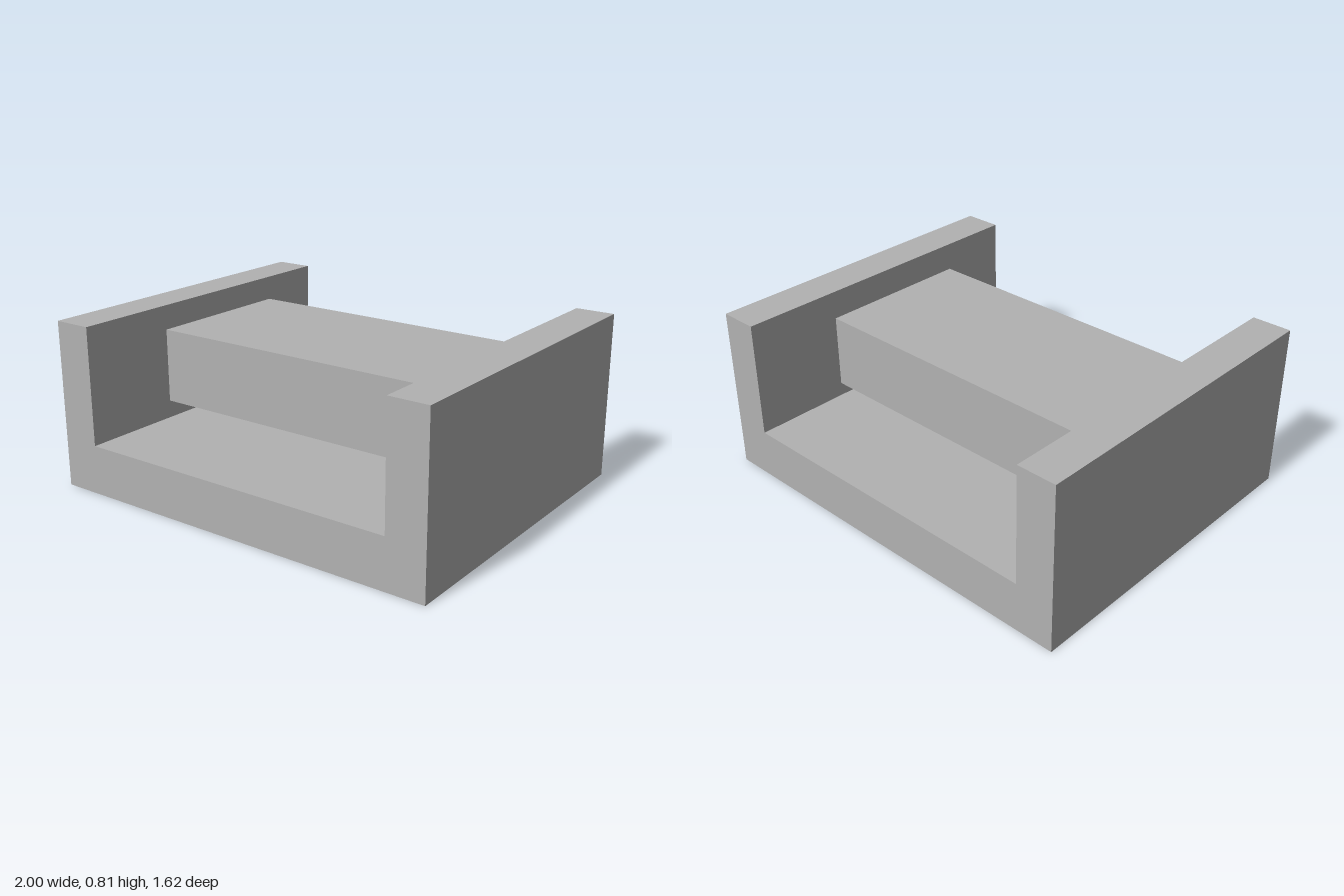
import * as THREE from 'three';

export function createModel() {
  const model = new THREE.Group();
  const grey = new THREE.MeshStandardMaterial({ color: 0xb2b2b2 });
  grey.name = 'grey';

  // U-shaped cradle: floor and two side walls in one extrusion
  const profile = new THREE.Shape([
    [-1, 0], [1, 0], [1, 0.81], [0.81, 0.81],
    [0.81, 0.24], [-0.81, 0.24], [-0.81, 0.81], [-1, 0.81],
  ].map(([x, y]) => new THREE.Vector2(x, y)));
  const depth = 1.62;
  const cradleGeometry = new THREE.ExtrudeGeometry(profile, { depth, bevelEnabled: false });
  cradleGeometry.translate(0, 0, -depth / 2);
  const cradle = new THREE.Mesh(cradleGeometry, grey);
  cradle.name = 'cradle';

  // Free block hovering between the walls
  const block = new THREE.Mesh(new THREE.BoxGeometry(1.474, 0.356, 0.766), grey);
  block.position.y = 0.539;
  block.name = 'block';

  model.add(cradle, block);
  return model;
}
